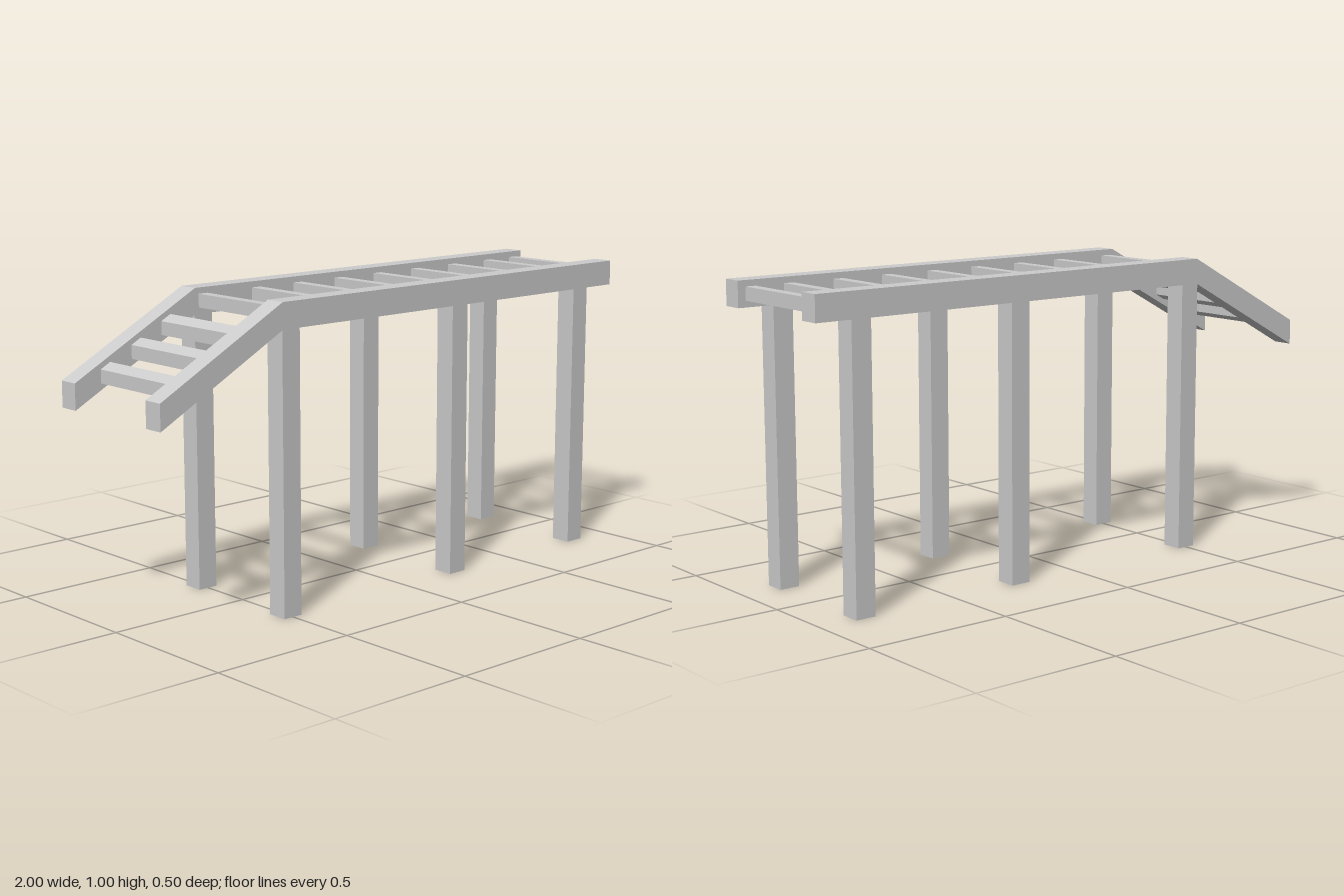
import * as THREE from 'three';

const KNEE = -0.532;                 // x where the deck starts to slope down
const SLOPE = 0.25 / (1 + KNEE);     // drop per unit of x beyond the knee
const INNER = 0.18, OUTER = 0.25;    // z range of the rails and posts

const topAt = x => (x < KNEE ? 1 - (KNEE - x) * SLOPE : 1);

export function createModel() {
  const group = new THREE.Group();
  const material = new THREE.MeshStandardMaterial({ color: 0xcccccc, flatShading: true });

  const add = (name, geometry, x = 0, y = 0, z = 0) => {
    const mesh = new THREE.Mesh(geometry, material);
    mesh.name = name;
    mesh.position.set(x, y, z);
    group.add(mesh);
  };

  // Beam following the deck line through the given x stations, between two
  // depths below the deck top, extruded along z
  const beam = (xs, upper, lower, depth) => {
    const points = [
      ...xs.map(x => new THREE.Vector2(x, topAt(x) - lower)),
      ...[...xs].reverse().map(x => new THREE.Vector2(x, topAt(x) - upper)),
    ];
    const geometry = new THREE.ExtrudeGeometry(new THREE.Shape(points), { depth, bevelEnabled: false });
    return geometry.translate(0, 0, -depth / 2);
  };

  // Side rails and posts, mirrored front to back
  const thickness = OUTER - INNER;
  const railGeometry = beam([-1, KNEE, 1], 0, 0.085, thickness);
  const postGeometry = new THREE.BoxGeometry(0.07, 0.915, thickness);
  for (const side of [1, -1]) {
    const z = side * (INNER + OUTER) / 2;
    const label = side > 0 ? 'front' : 'back';
    add(`${label}Rail`, railGeometry, 0, 0, z);
    [-0.5, 0.237, 0.84].forEach((x, i) => add(`${label}Post${i + 1}`, postGeometry, x, 0.4575, z));
  }

  // Rungs between the rails; the first three follow the slope
  const rungs = [-0.885, -0.767, -0.65, -0.5, -0.28, -0.1, 0.083, 0.265, 0.447, 0.633, 0.817, 0.955];
  rungs.forEach((x, i) =>
    add(`rung${i + 1}`, beam([x - 0.018, x + 0.018], 0.02, 0.064, 2 * INNER)));

  return group;
}
